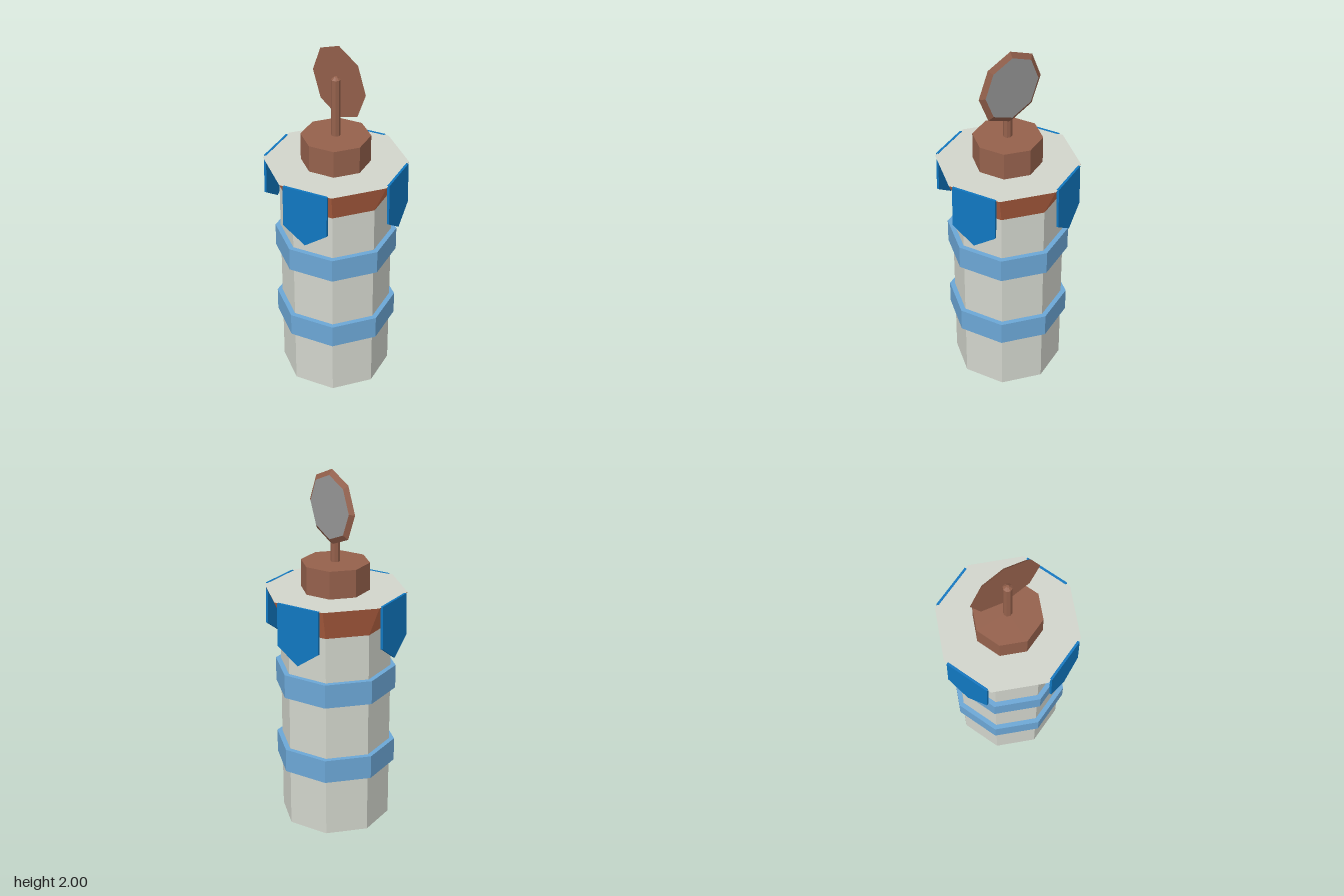
import * as THREE from 'three';

function paint(name, color) {
  const m = new THREE.MeshStandardMaterial({ color });
  m.name = name;
  m.flatShading = true;
  return m;
}

export function createModel() {
  const stone = paint('pale stone', 0xd2d5cc);
  const terracotta = paint('terracotta', 0xc26a48);
  const banner = paint('deep blue', 0x1077c0);
  const band = paint('light blue', 0x6ca7d6);
  const wood = paint('brown', 0x95614c);
  const glass = paint('grey', 0x999999);

  const model = new THREE.Group();
  model.name = 'tower';

  function add(name, geometry, material, parent = model) {
    const mesh = new THREE.Mesh(geometry, material);
    mesh.name = name;
    parent.add(mesh);
    return mesh;
  }

  // Eight-sided prism or frustum between two heights
  function octagon(name, rTop, rBottom, y0, y1, material, open = false) {
    const mesh = add(name, new THREE.CylinderGeometry(rTop, rBottom, y1 - y0, 8, 1, open), material);
    mesh.position.y = (y0 + y1) / 2;
    return mesh;
  }

  // Tower shaft, bands and flared collar with a stone deck
  octagon('shaft', 0.306, 0.306, 0, 1.17, stone);
  octagon('lowerBand', 0.335, 0.335, 0.335, 0.468, band);
  octagon('upperBand', 0.335, 0.335, 0.783, 0.917, band);
  octagon('collar', 0.39, 0.306, 1.17, 1.345, [terracotta, stone, stone]);

  // Cap and post with a small pointed tip
  octagon('cap', 0.187, 0.187, 1.345, 1.498, wood);
  octagon('post', 0.025, 0.025, 1.498, 1.82, wood, true);
  octagon('postTip', 0.008, 0.025, 1.82, 1.835, wood);

  // Bevelled disc on the post, its grey face towards +x
  const disc = add('disc', new THREE.CylinderGeometry(0.173, 0.203, 0.018, 8), [wood, glass, wood]);
  disc.rotation.z = -Math.PI / 2;
  disc.position.set(0.03, 1.797, 0);

  // Pointed banners on every second side of the collar
  const outline = new THREE.Shape([
    [-0.127, 0], [-0.127, -0.235], [0, -0.325], [0.127, -0.235], [0.127, 0],
  ].map(([x, y]) => new THREE.Vector2(x, y)));
  const bannerGeometry = new THREE.ExtrudeGeometry(outline, { depth: 0.013, bevelEnabled: false });
  for (let i = 0; i < 4; i++) {
    const side = new THREE.Group();
    side.name = 'bannerSide' + (i + 1);
    side.rotation.y = Math.PI / 8 + (i * Math.PI) / 2;
    const cloth = add('banner', bannerGeometry, banner, side);
    cloth.position.set(0, 1.346, 0.354);
    cloth.rotation.x = -0.02;
    model.add(side);
  }

  return model;
}
